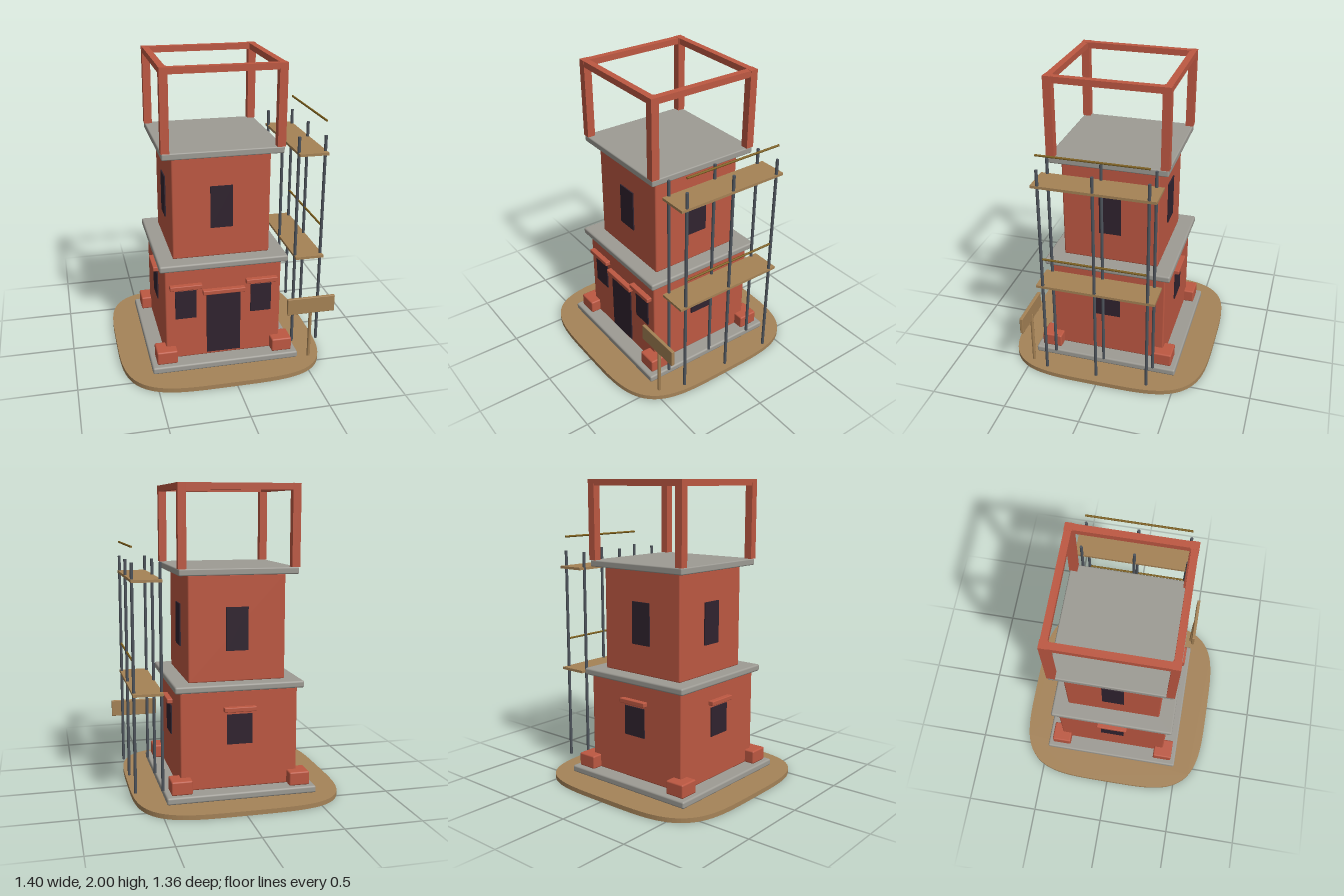
import * as THREE from 'three';
import { RoundedBoxGeometry } from 'three/addons/geometries/RoundedBoxGeometry.js';

const mat = (name, color) => new THREE.MeshStandardMaterial({ name, color });

export function createModel() {
  const brick = mat('brick red', 0xbd5842);
  const concrete = mat('concrete grey', 0x9d9b94);
  const dark = mat('dark opening', 0x30232f);
  const earth = mat('earth brown', 0xa58358);
  const wood = mat('plank wood', 0xa58255);
  const steel = mat('pole steel', 0x4e545c);
  const rail = mat('rail ochre', 0x7d5f1c);

  const model = new THREE.Group();
  model.name = 'towerUnderConstruction';
  const tower = new THREE.Group();
  tower.name = 'tower';
  tower.position.set(-0.027, 0, -0.002);
  model.add(tower);

  const add = (parent, name, geometry, material, x, y, z) => {
    const mesh = new THREE.Mesh(geometry, material);
    mesh.name = name;
    mesh.position.set(x, y, z);
    parent.add(mesh);
    return mesh;
  };
  const box = (parent, name, material, w, h, d, x, y, z, r = 0) =>
    add(parent, name, r ? new RoundedBoxGeometry(w, h, d, 2, r) : new THREE.BoxGeometry(w, h, d), material, x, y, z);
  // square storey or slab between two heights
  const block = (name, material, half, y0, y1, r) =>
    box(tower, name, material, half * 2, y1 - y0, half * 2, 0, (y0 + y1) / 2, 0, r);

  // ground: squarish superellipse disc
  const outline = [];
  for (let i = 0; i < 96; i++) {
    const a = (i / 96) * Math.PI * 2, c = Math.cos(a), s = Math.sin(a);
    outline.push(new THREE.Vector2(
      0.678 * Math.sign(c) * Math.sqrt(Math.abs(c)),
      0.678 * Math.sign(s) * Math.sqrt(Math.abs(s))));
  }
  const ground = new THREE.ExtrudeGeometry(new THREE.Shape(outline), { depth: 0.03, bevelEnabled: false });
  ground.rotateX(-Math.PI / 2);
  add(tower, 'ground', ground, earth, 0, 0, 0);

  // storeys and slabs
  block('plinth', concrete, 0.487, 0.03, 0.076, 0.012);
  block('lowerWalls', brick, 0.383, 0.074, 0.717, 0.01);
  block('middleSlab', concrete, 0.42, 0.715, 0.76, 0.012);
  block('upperWalls', brick, 0.317, 0.757, 1.443, 0.01);
  block('roofSlab', concrete, 0.384, 1.44, 1.483, 0.008);

  // corner stones, posts of the open top frame
  for (const sx of [-1, 1]) {
    for (const sz of [-1, 1]) {
      box(tower, 'cornerStone', brick, 0.135, 0.09, 0.135, sx * 0.385, 0.12, sz * 0.385, 0.01);
      box(tower, 'framePost', brick, 0.052, 0.517, 0.052, sx * 0.362, 1.7415, sz * 0.362);
    }
    box(tower, 'frameBeamSide', brick, 0.043, 0.04, 0.7, sx * 0.364, 1.979, 0);
    box(tower, 'frameBeamCross', brick, 0.7, 0.04, 0.043, 0, 1.979, sx * 0.364);
  }

  // openings are built on a front face and turned to each side
  const openings = ['front', 'left', 'back', 'right'];
  openings.forEach((side, i) => {
    const face = new THREE.Group();
    face.name = side + 'Openings';
    face.rotation.y = i * Math.PI / 2;
    tower.add(face);
    const plate = (name, w, y0, y1, x, z) =>
      box(face, name, dark, w, y1 - y0, 0.009, x, (y0 + y1) / 2, z + 0.0035);
    const lintel = (w, x, y) => box(face, 'lintel', brick, w, 0.03, 0.04, x, y, 0.398, 0.005);

    plate('upperWindow', 0.145, 0.957, 1.235, 0, 0.317);
    if (side === 'front') {
      plate('door', 0.225, 0.095, 0.53, 0, 0.383);
      lintel(0.28, 0, 0.545);
      for (const s of [-1, 1]) {
        plate('lowerWindow', 0.138, 0.365, 0.56, s * 0.25, 0.383);
        lintel(0.21, s * 0.25, 0.595);
      }
    } else {
      plate('lowerWindow', 0.166, 0.365, 0.56, 0, 0.383);
      lintel(0.21, 0, 0.595);
    }
  });

  // scaffold on the left side
  const scaffold = new THREE.Group();
  scaffold.name = 'scaffold';
  model.add(scaffold);
  const pole = new THREE.CylinderGeometry(0.01, 0.01, 1.45, 10);
  for (const x of [0.463, 0.637])
    for (const z of [-0.34, 0, 0.34]) add(scaffold, 'pole', pole, steel, x, 0.8, z);
  const bar = new THREE.CylinderGeometry(0.007, 0.007, 0.685, 8).rotateX(Math.PI / 2);
  for (const y of [0.712, 1.415]) {
    box(scaffold, 'plank', wood, 0.19, 0.017, 0.77, 0.552, y, -0.002);
    add(scaffold, 'handRail', bar, rail, 0.636, y + 0.204, 0);
  }

  // site board
  const sign = new THREE.Group();
  sign.name = 'siteBoard';
  model.add(sign);
  add(sign, 'signPost', new THREE.CylinderGeometry(0.011, 0.011, 0.375, 10), wood, 0.54, 0.2125, 0.474);
  box(sign, 'board', wood, 0.322, 0.113, 0.022, 0.539, 0.417, 0.48, 0.004);

  return model;
}
